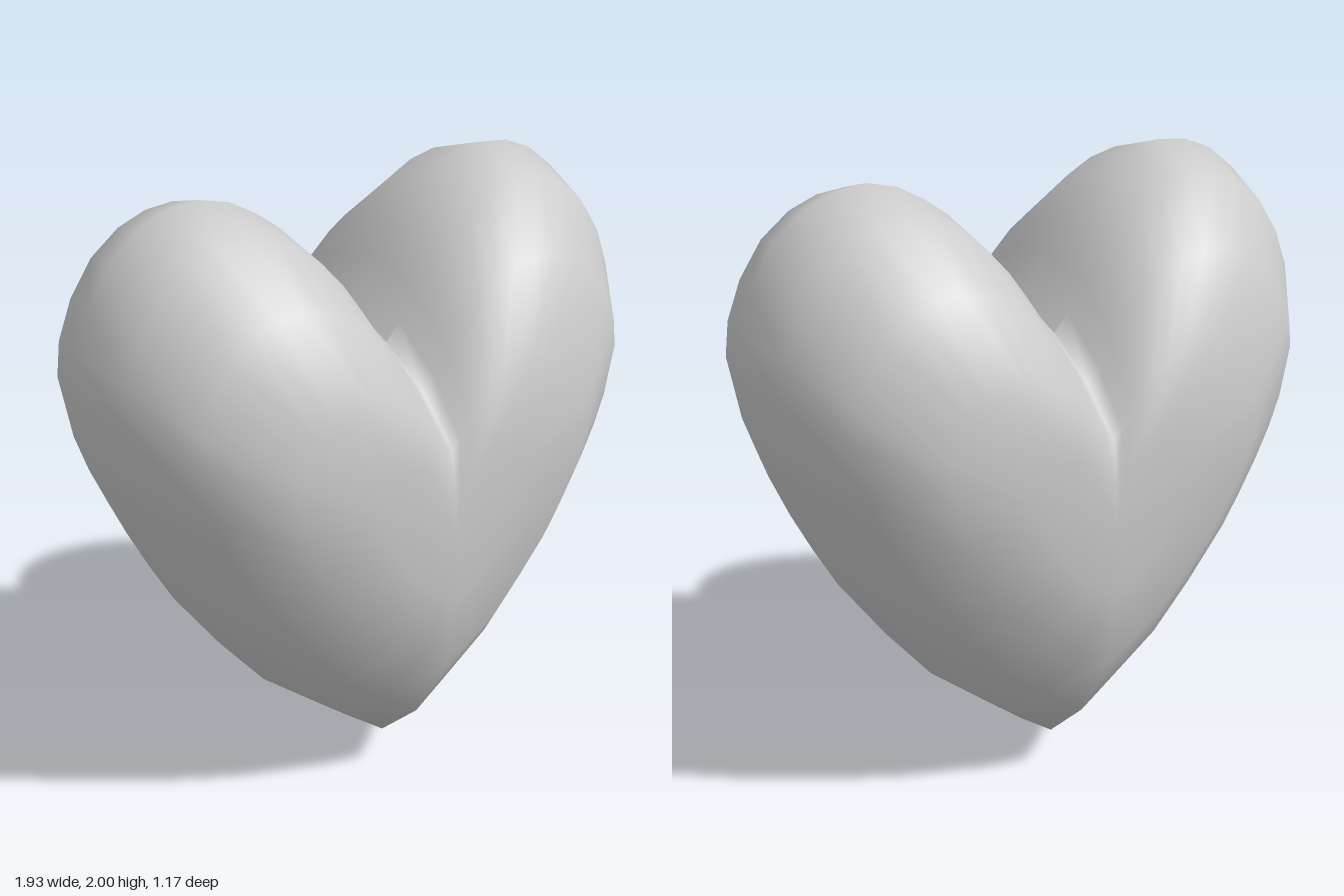
import * as THREE from 'three';
import { toCreasedNormals } from 'three/addons/utils/BufferGeometryUtils.js';

// Half of the heart outline, from the cleft over the lobe to the tip
const HALF = [
  [0, 1.54], [0.05, 1.6], [0.11, 1.69], [0.17, 1.775], [0.25, 1.865], [0.33, 1.925], [0.42, 1.975],
  [0.52, 2], [0.62, 1.99], [0.72, 1.95], [0.82, 1.87], [0.9, 1.75], [0.95, 1.62], [0.965, 1.5],
  [0.925, 1.275], [0.88, 1.14], [0.82, 1], [0.75, 0.86], [0.67, 0.715], [0.51, 0.49], [0.345, 0.286],
  [0.17, 0.14], [0, 0],
];

// Outline scale at each depth: z, scale in x, scale in y about mid height
const FRONT = [
  [0, 1, 1], [0.21, 0.943, 0.935], [0.4, 0.81, 0.75], [0.55, 0.57, 0.5], [0.58, 0.27, 0.25],
];

function puffyHeart() {
  const mirrored = HALF.slice(1, -1).reverse().map(([x, y]) => [-x, y]);
  const outline = [...HALF, ...mirrored];
  const n = outline.length;
  const rings = [...FRONT.slice(1).reverse().map(([z, a, b]) => [-z, a, b]), ...FRONT];

  const positions = [];
  for (const [z, sx, sy] of rings) {
    for (const [x, y] of outline) positions.push(x * sx, 1 + (y - 1) * sy, z);
  }
  const back = rings.length * n;
  const front = back + 1;
  positions.push(0, 1, -0.587, 0, 1, 0.587);

  const index = [];
  const last = (rings.length - 1) * n;
  for (let i = 0; i < n; i++) {
    const j = (i + 1) % n;
    // Padded wall between neighbouring rings
    for (let r = 0; r < rings.length - 1; r++) {
      const a = r * n + i, b = r * n + j;
      index.push(a, a + n, b, b, a + n, b + n);
    }
    // Nearly flat centres of the front and back
    index.push(back, i, j, front, last + j, last + i);
  }

  const geometry = new THREE.BufferGeometry();
  geometry.setAttribute('position', new THREE.Float32BufferAttribute(positions, 3));
  geometry.setIndex(index);
  return toCreasedNormals(geometry, 1.6);
}

export function createModel() {
  const group = new THREE.Group();
  group.name = 'puffyHeart';
  const heart = new THREE.Mesh(
    puffyHeart(),
    new THREE.MeshStandardMaterial({ color: 0xcccccc }),
  );
  heart.name = 'heart';
  group.add(heart);
  return group;
}
